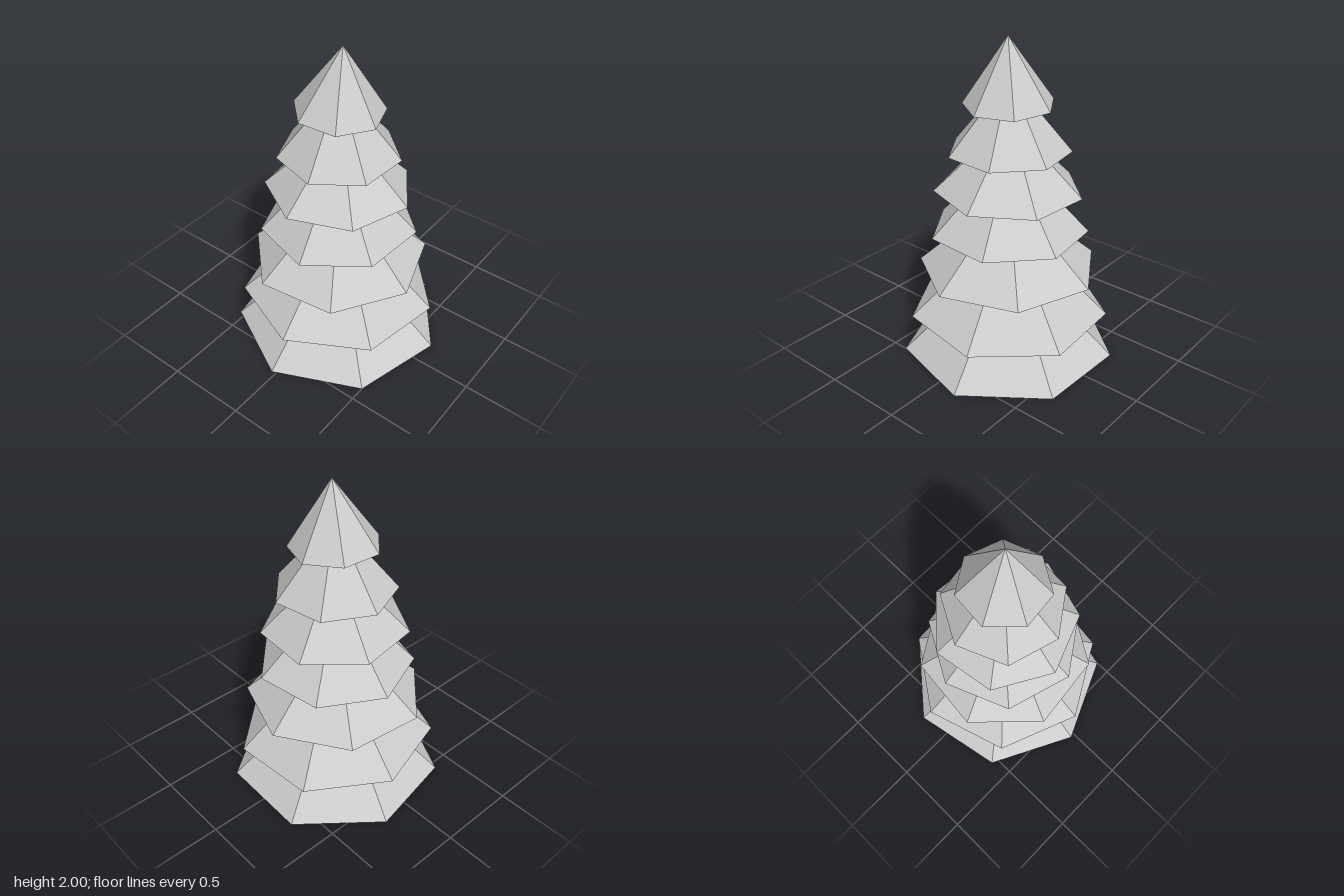
import * as THREE from 'three';

// Each tier: base height, base radius, radius where the next tier begins,
// corner angle (degrees from +x towards +z), base slope along x, along z
const TIERS = [
  [0.00, 0.668, 0.385, 27.5, 0, 0],
  [0.272, 0.62, 0.32, 21.7, -0.025, -0.008],
  [0.555, 0.56, 0.27, -6.5, 0, 0],
  [0.813, 0.485, 0.23, 16.8, 0.002, 0.016],
  [1.075, 0.45, 0.195, 30.1, -0.022, 0],
  [1.32, 0.371, 0.14, 16.2, 0, 0],
  [1.597, 0.273, 0, -7, -0.015, -0.045],
];
const SIDES = 7;
const TOP = 2;
const OVERLAP = 0.04; // how far a tier reaches up into the next one

export function createModel() {
  const tree = new THREE.Group();
  tree.name = 'firTree';
  const material = new THREE.MeshStandardMaterial({ color: 0xcccccc, flatShading: true });

  TIERS.forEach(([y, radius, nextRadius, corner, slopeX, slopeZ], i) => {
    const isTip = i === TIERS.length - 1;
    const gap = (isTip ? TOP : TIERS[i + 1][0]) - y;
    const extra = isTip ? 0 : OVERLAP;
    const height = gap + extra;
    const topRadius = nextRadius - ((radius - nextRadius) / gap) * extra;

    // Seven-sided skirt of branches, closed below, pivoting about its base
    const geometry = new THREE.CylinderGeometry(
      topRadius, radius, height, SIDES, 1, false, THREE.MathUtils.degToRad(90 - corner));
    geometry.translate(0, height / 2, 0);

    const tier = new THREE.Mesh(geometry, material);
    tier.name = isTip ? 'treeTip' : `branchTier${i + 1}`;
    tier.position.set(0.027, y, -0.008);
    tier.rotation.set(-slopeZ, 0, slopeX);
    tree.add(tier);
  });
  return tree;
}
